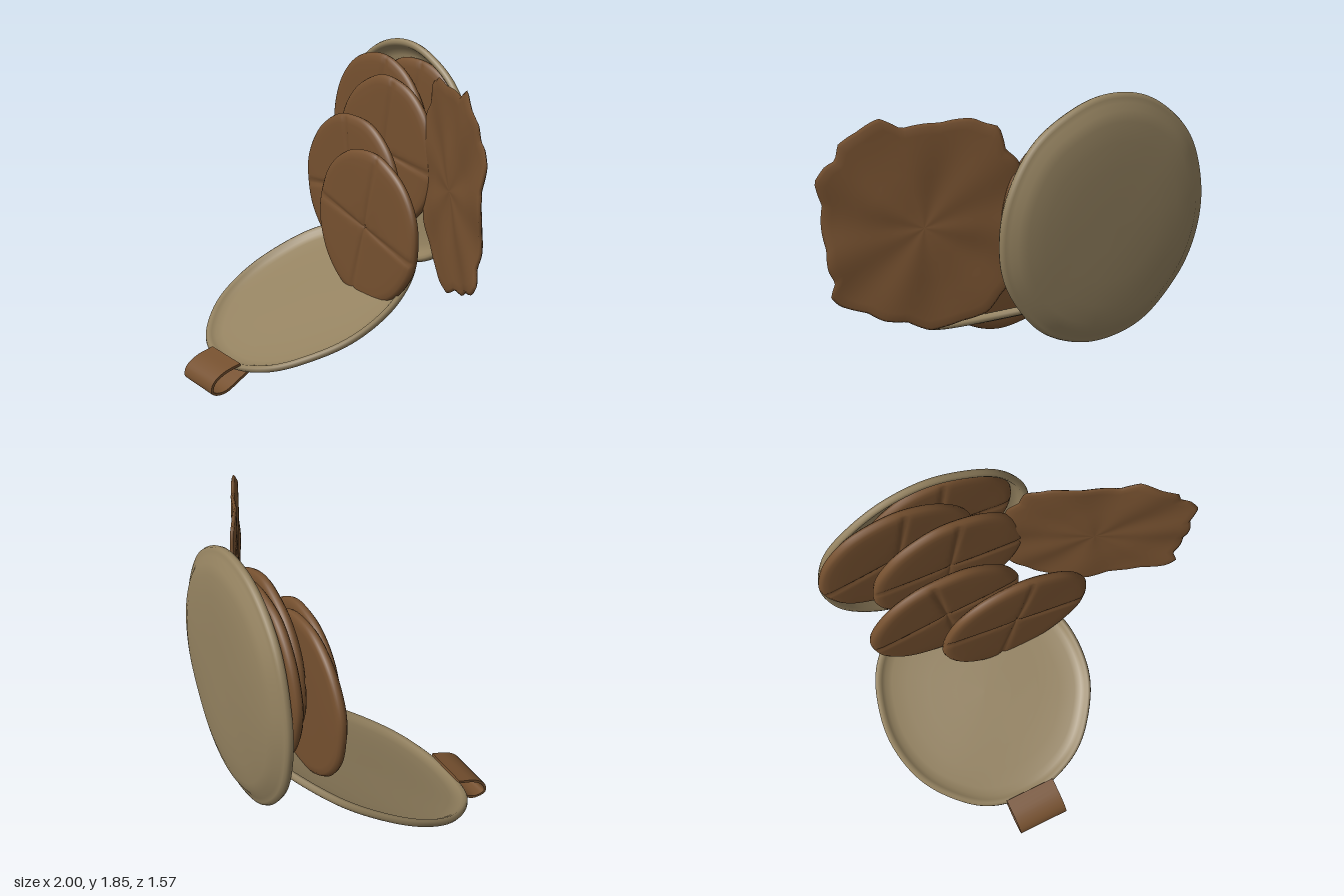
import * as THREE from 'three';
import { toCreasedNormals } from 'three/addons/utils/BufferGeometryUtils.js';

const SEG = 144;

// Closed round form: profile of [radius, z] from front centre over the rim to back centre.
// outline(a) gives [x, y] of the rim, bump(x, y, front) an added z.
function roundForm(profile, outline, bump) {
  const pos = [], idx = [];
  profile.forEach(([r, z], i) => {
    for (let j = 0; j < SEG; j++) {
      const [ox, oy] = outline((j / SEG) * Math.PI * 2);
      const x = ox * r, y = oy * r;
      pos.push(x, y, z + bump(x, y, i < profile.length / 2));
      if (i < profile.length - 1) {
        const a = i * SEG + j, b = i * SEG + ((j + 1) % SEG), c = a + SEG, d = b + SEG;
        if (i > 0) idx.push(a, d, b);
        if (i < profile.length - 2) idx.push(a, c, d);
        else idx.push(a, c, b);
      }
    }
  });
  const geo = new THREE.BufferGeometry();
  geo.setAttribute('position', new THREE.Float32BufferAttribute(pos, 3));
  geo.setIndex(idx);
  geo.computeVertexNormals();
  return geo;
}

// Slightly wobbly ellipse
const wobbly = (rx, ry, seed, amount) => (a) => {
  const k = 1 + amount * (Math.sin(3 * a + seed) + 0.6 * Math.sin(7 * a + seed * 2.3) + 0.35 * Math.sin(11 * a - seed));
  return [Math.cos(a) * rx * k, Math.sin(a) * ry * k];
};

// Thick patty with two grooves crossing on its front
function scoredDisc(seed, angles) {
  const profile = [
    [0, 0.03], [0.05, 0.03], [0.15, 0.03], [0.35, 0.031], [0.55, 0.031], [0.75, 0.031], [0.88, 0.03],
    [0.95, 0.026], [0.985, 0.015], [1, 0], [0.985, -0.016], [0.95, -0.026], [0.88, -0.031], [0.5, -0.031], [0.2, -0.031], [0, -0.031],
  ];
  return roundForm(profile, wobbly(0.452, 0.45, seed, 0.007), (x, y, front) => {
    if (!front) return 0;
    let z = 0.002 * Math.sin(9 * x + seed) * Math.sin(8 * y);
    for (const deg of angles) {
      const t = (deg * Math.PI) / 180;
      const d = x * Math.sin(t) - y * Math.cos(t);
      z -= 0.01 * Math.exp(-((d / 0.016) ** 2));
    }
    return z;
  });
}

// Shallow dish with a rolled lip, open to the front
function dish(depth, seed) {
  const profile = [
    [0, -0.066], [0.25, -0.065], [0.5, -0.062], [0.7, -0.056], [0.85, -0.044], [0.91, -0.025], [0.94, 0.008], [0.965, 0.018],
    [0.99, 0.012], [1, -0.004], [0.99, -0.02], [0.965, -0.028], [0.93, -0.034], [0.88, -0.058], [0.8, -0.073],
    [0.65, -0.085], [0.45, -0.093], [0.2, -0.097], [0, -0.098],
  ].map(([r, z], i) => [r, i > 6 && i < 12 ? z : z * depth]);
  return roundForm(profile, wobbly(0.636, 0.688, seed, 0.006),
    (x, y) => 0.004 * Math.sin(6 * x + seed) * Math.sin(5 * y + seed));
}

// Torn sheet with a ragged edge and radiating creases
function raggedSheet(cx, cy, stretch) {
  const edge = [
    [0.98, 1.2], [0.97, 1.32], [1.0, 1.45], [0.95, 1.53], [0.9, 1.56], [0.885, 1.64], [0.8, 1.7], [0.7, 1.77], [0.6, 1.715],
    [0.42, 1.735], [0.27, 1.755], [0.22, 1.73], [0.15, 1.71], [0.12, 1.59], [0.06, 1.53], [0.04, 1.36], [0.0, 1.22],
    [0.04, 1.05], [0.06, 0.9], [0.14, 0.78], [0.2, 0.69], [0.32, 0.64], [0.48, 0.59], [0.59, 0.65], [0.7, 0.66],
    [0.78, 0.71], [0.91, 0.75], [0.95, 0.8], [0.925, 0.89], [0.955, 0.96], [0.96, 1.08],
  ].map(([x, y]) => {
    const dx = (x - cx) * stretch, dy = y - cy;
    return { a: (Math.atan2(dy, dx) + Math.PI * 2) % (Math.PI * 2), r: Math.hypot(dx, dy) };
  }).sort((p, q) => p.a - q.a);
  const outline = (a) => {
    let n = edge.findIndex((p) => p.a > a);
    if (n < 0) n = 0;
    const q = edge[n], p = edge[(n + edge.length - 1) % edge.length];
    const turn = Math.PI * 2;
    const span = (q.a - p.a + turn) % turn, t = ((a - p.a + turn) % turn) / span;
    const r = p.r + (q.r - p.r) * t;
    return [Math.cos(a) * r, Math.sin(a) * r];
  };
  const radii = [0, 0.08, 0.2, 0.35, 0.5, 0.65, 0.8, 0.9, 0.97];
  const profile = [...radii.map((r) => [r, 0.01]), [1, 0], ...radii.reverse().map((r) => [r, -0.01])];
  return roundForm(profile, outline, (x, y) => {
    const a = Math.atan2(y, x), r = Math.hypot(x, y);
    return 0.014 * r * Math.sin(7 * a + 1) + 0.005 * Math.sin(13 * x + 2) * Math.sin(12 * y);
  });
}

// Bent strip, profile given as [z, y] along its middle
function bentStrip(path, thickness, width) {
  const curve = new THREE.CatmullRomCurve3(path.map(([z, y]) => new THREE.Vector3(z, y, 0)));
  const outer = [], inner = [];
  for (let i = 0; i <= 28; i++) {
    const p = curve.getPoint(i / 28), t = curve.getTangent(i / 28);
    const nx = (-t.y * thickness) / 2, ny = (t.x * thickness) / 2;
    outer.push(new THREE.Vector2(p.x + nx, p.y + ny));
    inner.unshift(new THREE.Vector2(p.x - nx, p.y - ny));
  }
  const geo = new THREE.ExtrudeGeometry(new THREE.Shape([...outer, ...inner]), { depth: width, bevelEnabled: false });
  geo.rotateY(-Math.PI / 2);
  return toCreasedNormals(geo, 0.7);
}

export function createModel() {
  const group = new THREE.Group();
  const brown = new THREE.MeshStandardMaterial({ color: 0x75502f });
  brown.name = 'brown';
  const tan = new THREE.MeshStandardMaterial({ color: 0x93815f });
  tan.name = 'tan';

  const add = (name, geo, mat, x, y, z) => {
    const mesh = new THREE.Mesh(geo, mat);
    mesh.name = name;
    mesh.position.set(x, y, z);
    group.add(mesh);
    return mesh;
  };

  // Upright dish at the back, tilted flatter one below
  add('backDish', dish(1, 1.2), tan, -0.364, 1.172, -0.69);
  add('tiltedDish', dish(0.5, 1.2), tan, -0.364, 0.425, 0).rotation.x = -1.115;

  // Staggered scored discs, back to front
  [
    [-0.28, 1.31, -0.715, [80, -10]],
    [-0.545, 1.31, -0.645, [78, 9]],
    [-0.3, 1.22, -0.512, [79, -8]],
    [-0.415, 0.995, -0.347, [96, 6]],
    [-0.065, 0.865, -0.19, [75, -15]],
  ].forEach(([x, y, z, angles], i) => add('scoredDisc' + (i + 1), scoredDisc(i * 1.7 + 0.5, angles), brown, x, y, z));

  // Ragged sheet standing at an angle on the left
  const turn = 0.415;
  add('raggedSheet', raggedSheet(0.5, 1.18, 1 / Math.cos(turn)), brown, 0.5, 1.18, -0.325).rotation.y = -turn;

  // Strip folded round the front rim of the tilted dish
  const path = [[0.59, 0.158], [0.7, 0.128], [0.765, 0.08], [0.772, 0.028], [0.7, 0.014], [0.6, 0.065], [0.495, 0.128]];
  add('foldedStrip', bentStrip(path, 0.015, 0.305), brown, -0.212, 0, 0);

  return group;
}
